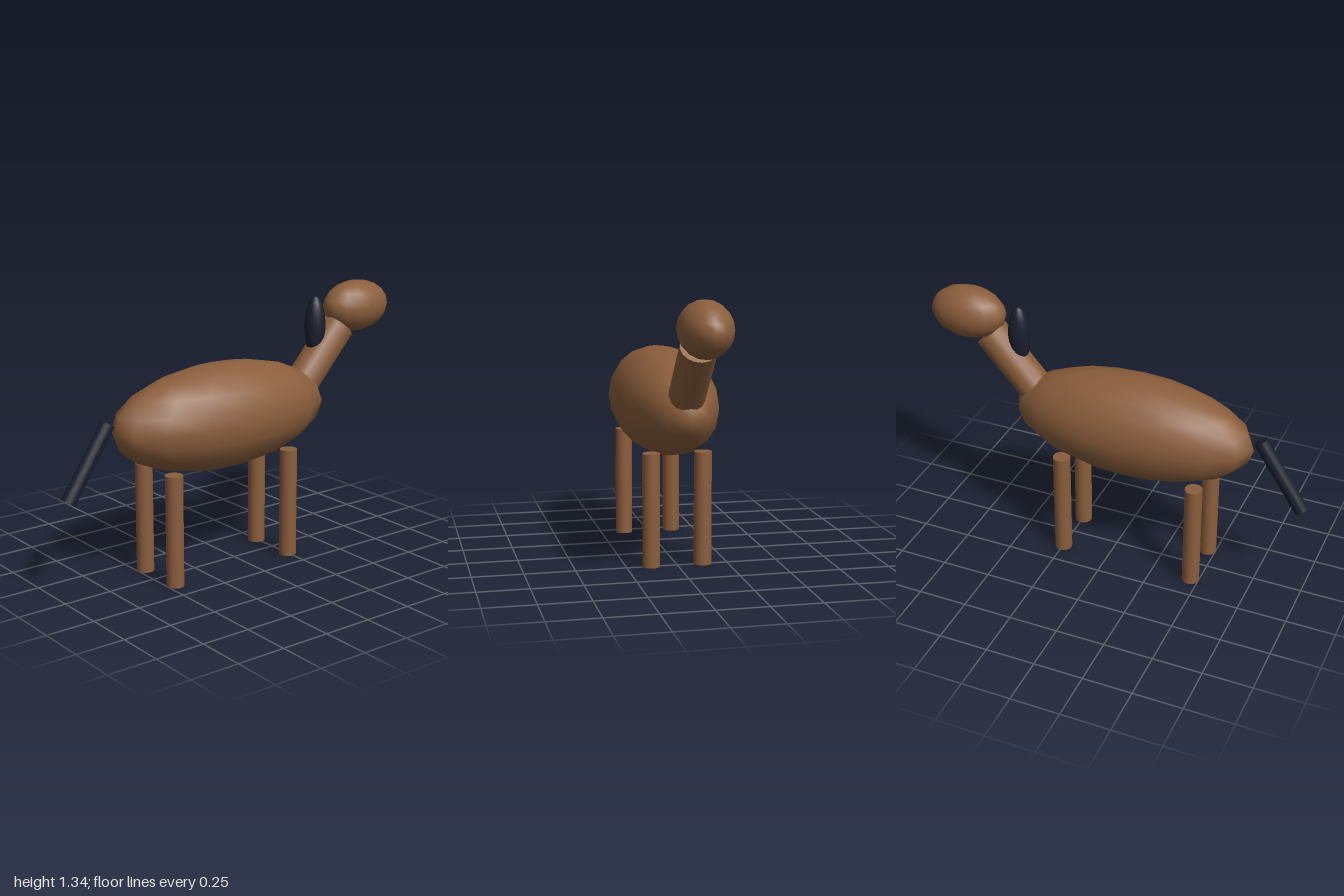
import * as THREE from 'three';

const brown = new THREE.MeshStandardMaterial({ color: 0x8b5e3c });
const dark = new THREE.MeshStandardMaterial({ color: 0x1a1f2e });

export function createModel() {
  const group = new THREE.Group();

  function add(name, geometry, material, x, y, z = 0) {
    const mesh = new THREE.Mesh(geometry, material);
    mesh.name = name;
    mesh.position.set(x, y, z);
    group.add(mesh);
    return mesh;
  }

  // Ellipsoid with half-sizes rx, ry, rz
  function ellipsoid(name, material, x, y, rx, ry, rz) {
    add(name, new THREE.SphereGeometry(1, 16, 10), material, x, y).scale.set(rx, ry, rz);
  }

  // Cylinder between two points in the plane z = 0
  function rod(name, material, radius, x0, y0, x1, y1) {
    const length = Math.hypot(x1 - x0, y1 - y0);
    const mesh = add(name, new THREE.CylinderGeometry(radius, radius, length, 16),
      material, (x0 + x1) / 2, (y0 + y1) / 2);
    mesh.rotation.z = -Math.atan2(x1 - x0, y1 - y0);
  }

  // Body, neck and head
  ellipsoid('body', brown, -0.085, 0.768, 0.625, 0.263, 0.25);
  rod('neck', brown, 0.0875, 0.41, 0.82, 0.675, 1.115);
  ellipsoid('head', brown, 0.795, 1.21, 0.198, 0.132, 0.124);

  // Mane and tail
  ellipsoid('mane', dark, 0.522, 1.13, 0.055, 0.16, 0.052);
  rod('tail', dark, 0.036, -0.967, 0.492, -0.741, 0.834);

  // Four straight legs
  const leg = new THREE.CylinderGeometry(0.044, 0.044, 0.56, 16);
  for (const [end, x] of [['front', 0.247], ['hind', -0.458]]) {
    for (const side of [-1, 1]) add(end + 'Leg', leg, brown, x, 0.28, side * 0.128);
  }

  return group;
}
